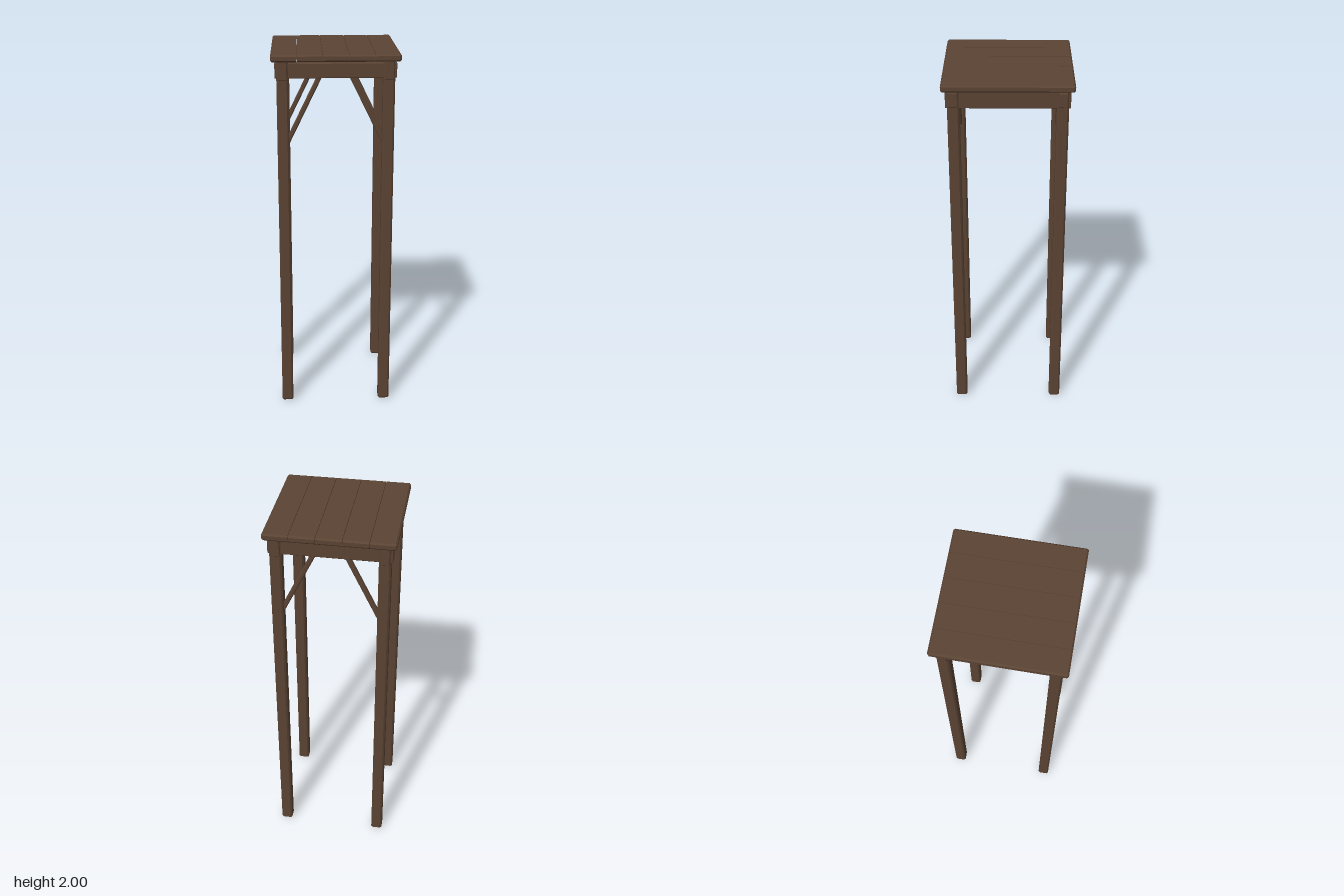
import * as THREE from 'three';
import { ConvexGeometry } from 'three/addons/geometries/ConvexGeometry.js';

const wood = new THREE.MeshStandardMaterial({ color: 0x5a4333 });
wood.name = 'dark brown wood';

// Box with chamfered edges; the two x ends can have their own chamfer
function chamferBox(w, h, d, c, cLeft = c, cRight = c) {
  const x = w / 2, y = h / 2, z = d / 2, points = [];
  for (const sx of [-1, 1]) {
    const cx = sx < 0 ? cLeft : cRight;
    for (const sy of [-1, 1]) for (const sz of [-1, 1]) {
      if (cx > 0) points.push(new THREE.Vector3(sx * x, sy * (y - c), sz * (z - c)));
      points.push(new THREE.Vector3(sx * (x - cx), sy * y, sz * (z - c)));
      points.push(new THREE.Vector3(sx * (x - cx), sy * (y - c), sz * z));
    }
  }
  return new ConvexGeometry(points);
}

export function createModel() {
  const group = new THREE.Group();
  group.name = 'tallTable';
  const add = (name, geometry, x, y, z) => {
    const mesh = new THREE.Mesh(geometry, wood);
    mesh.name = name;
    mesh.position.set(x, y, z);
    group.add(mesh);
    return mesh;
  };

  // Top: five planks side by side, bevelled only around the outside
  const topWidth = 0.672, planks = 5, gap = 0.002;
  const pitch = (topWidth + gap) / planks;
  for (let i = 0; i < planks; i++) {
    const geometry = chamferBox(pitch - gap, 0.037, topWidth, 0.008,
      i === 0 ? 0.008 : 0, i === planks - 1 ? 0.008 : 0);
    add('topPlank', geometry, (i - (planks - 1) / 2) * pitch, 1.9815, 0);
  }

  // Legs
  const off = 0.276;
  const legGeometry = chamferBox(0.062, 1.963, 0.062, 0.009);
  for (const sx of [-1, 1]) for (const sz of [-1, 1]) {
    add('leg', legGeometry, sx * off, 0.9815, sz * off);
  }

  // Aprons run through the legs and stick out a little past them
  const frontApron = chamferBox(0.632, 0.078, 0.048, 0.003);
  const sideApron = chamferBox(0.048, 0.098, 0.632, 0.003);
  for (const s of [-1, 1]) {
    add(s > 0 ? 'frontApron' : 'backApron', frontApron, 0, 1.913, s * off);
    add('sideApron', sideApron, s * off, 1.914, 0);
  }

  // Slanted braces between the legs and the front and back aprons
  const low = new THREE.Vector2(0.255, 1.53), high = new THREE.Vector2(0.078, 1.892);
  const span = high.clone().sub(low);
  const braceGeometry = chamferBox(0.025, span.length(), 0.025, 0.005);
  for (const sx of [-1, 1]) for (const sz of [-1, 1]) {
    const brace = add('brace', braceGeometry,
      sx * (low.x + high.x) / 2, (low.y + high.y) / 2, sz * off);
    brace.rotation.z = sx * Math.atan2(-span.x, span.y);
  }

  return group;
}
